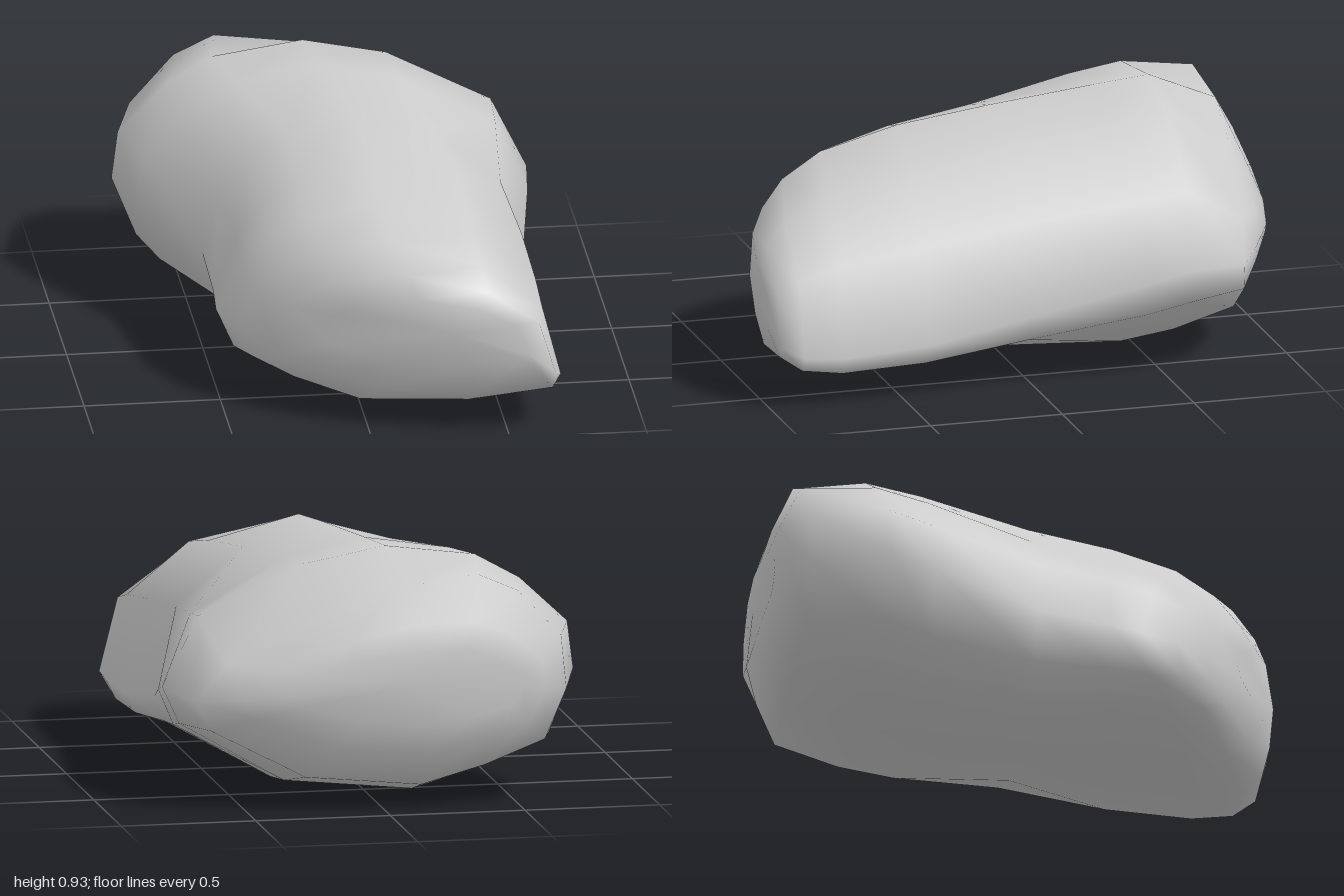
import * as THREE from 'three';

// Cross-section outlines inside a -1..1 box, counter-clockwise from the +x side
const backOutline = [
  [1, -0.12], [0.83, 0.46], [0.33, 0.87], [-0.07, 1], [-0.51, 0.9], [-0.73, 0.69], [-0.97, 0.31],
  [-1, -0.08], [-0.88, -0.59], [-0.55, -0.82], [-0.2, -1], [0.42, -0.9], [0.92, -0.42],
];
const frontOutline = [
  [1, -0.62], [0.88, 0.25], [0.5, 0.77], [-0.05, 1], [-0.48, 0.8], [-0.7, 0.53], [-0.86, 0.23],
  [-1, -0.3], [-0.9, -0.66], [-0.65, -0.83], [-0.25, -1], [0.42, -0.92], [0.95, -0.79],
];

// Sections from back to front. x, y: extents of the box; tilt: slope of the top across x;
// z: depth at x = 0, bent across the width as z + a*x + b*x^2
const sections = [
  { z: -1.00, a: 0.04, b: 0.14, x: [-0.50, 0.35], y: [0.33, 0.60], tilt: -0.05 },
  { z: -0.965, a: 0.07, b: 0.18, x: [-0.59, 0.52], y: [0.22, 0.68], tilt: -0.15 },
  { z: -0.89, a: 0.06, b: 0.13, x: [-0.68, 0.68], y: [0.09, 0.81], tilt: -0.28 },
  { z: -0.64, a: 0.02, b: 0.10, x: [-0.76, 0.76], y: [0.025, 0.93], tilt: 0 },
  { z: -0.42, a: 0.00, b: 0.00, x: [-0.69, 0.745], y: [0.00, 0.92], tilt: 0 },
  { z: 0.00, a: 0.03, b: 0.00, x: [-0.50, 0.67], y: [0.03, 0.90], tilt: 0 },
  { z: 0.34, a: 0.15, b: -0.05, x: [-0.495, 0.69], y: [0.045, 0.86], tilt: 0 },
  { z: 0.62, a: 0.36, b: -0.28, x: [-0.50, 0.70], y: [0.045, 0.785], tilt: 0 },
  { z: 0.76, a: 0.42, b: -0.34, x: [-0.45, 0.70], y: [0.08, 0.70], tilt: 0 },
  { z: 0.83, a: 0.46, b: -0.38, x: [-0.34, 0.67], y: [0.15, 0.61], tilt: 0 },
  { z: 0.865, a: 0.46, b: -0.42, x: [-0.18, 0.57], y: [0.27, 0.53], tilt: 0 },
];
const SIDES = backOutline.length;

// One corner of a section, its outline blended from back to front
function ringPoint(s, i) {
  const { lerp, smoothstep } = THREE.MathUtils;
  const front = smoothstep(s.z, -0.6, 0.4);
  const u = lerp(backOutline[i][0], frontOutline[i][0], front);
  const v = lerp(backOutline[i][1], frontOutline[i][1], front);
  const x = lerp(s.x[0], s.x[1], (u + 1) / 2);
  const y = lerp(s.y[0], s.y[1], (v + 1) / 2) + s.tilt * x * Math.max(v, 0);
  return [x, y, s.z + s.a * x + s.b * x * x];
}

function boulderGeometry() {
  const positions = [], index = [];
  for (const s of sections) {
    for (let i = 0; i < SIDES; i++) positions.push(...ringPoint(s, i));
  }
  const at = (j, i) => j * SIDES + (i % SIDES);
  const last = sections.length - 1;

  // Skin between neighbouring sections
  for (let j = 0; j < last; j++) {
    for (let i = 0; i < SIDES; i++) {
      const a = at(j, i), b = at(j, i + 1), c = at(j + 1, i + 1), d = at(j + 1, i);
      index.push(a, b, c, a, c, d);
    }
  }

  // Closed back and front ends
  const back = positions.length / 3;
  positions.push(-0.08, 0.48, -1.0, 0.3, 0.41, 0.98);
  for (let i = 0; i < SIDES; i++) {
    index.push(back, at(0, i + 1), at(0, i));
    index.push(back + 1, at(last, i), at(last, i + 1));
  }

  const geometry = new THREE.BufferGeometry();
  geometry.setAttribute('position', new THREE.Float32BufferAttribute(positions, 3));
  geometry.setIndex(index);
  geometry.computeVertexNormals();
  return geometry;
}

export function createModel() {
  const group = new THREE.Group();
  group.name = 'rock';
  const boulder = new THREE.Mesh(boulderGeometry(), new THREE.MeshStandardMaterial({ color: 0xcccccc }));
  boulder.name = 'boulder';
  group.add(boulder);
  return group;
}
